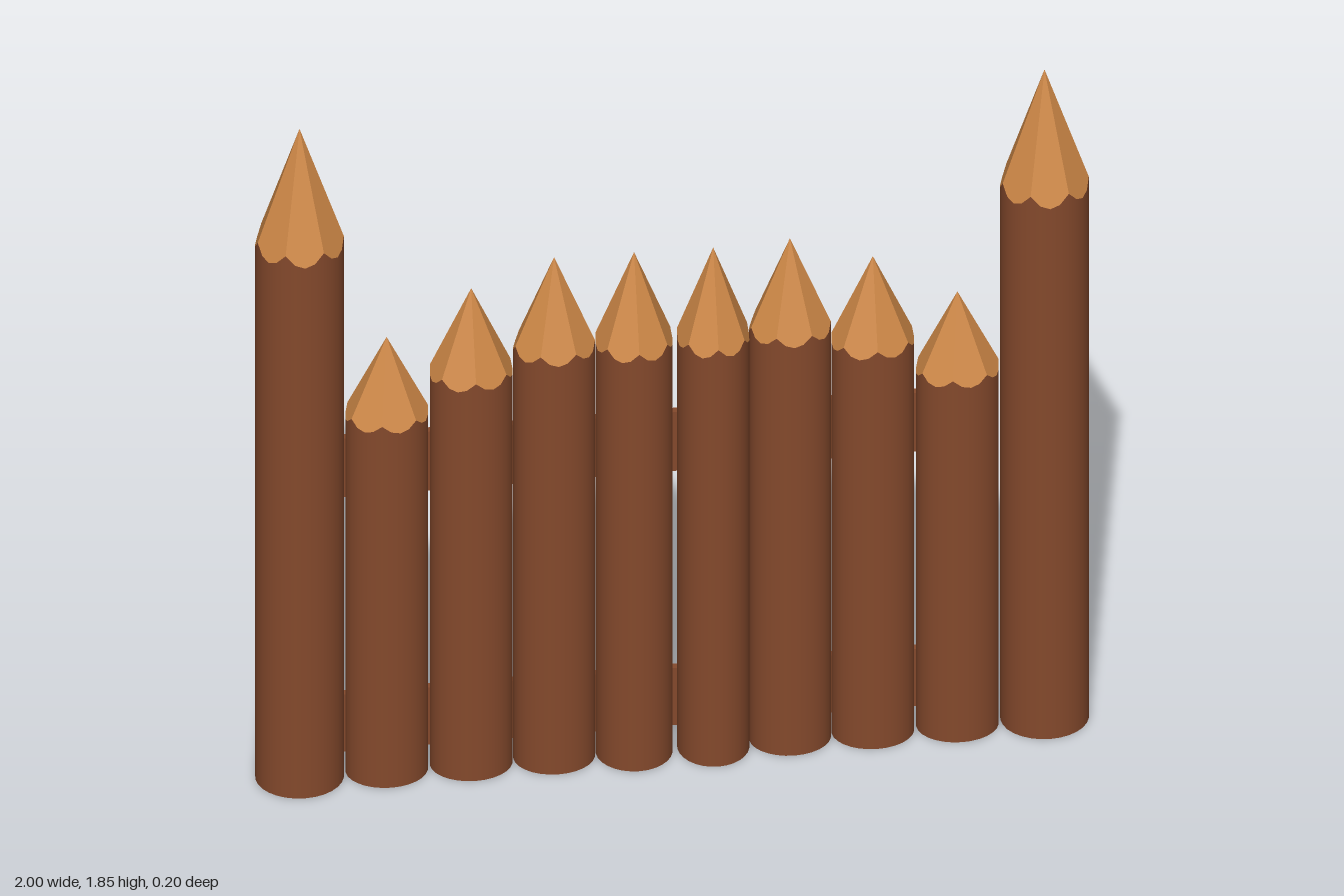
import * as THREE from 'three';

const bark = new THREE.MeshStandardMaterial({ color: 0x84492c });
const cutWood = new THREE.MeshStandardMaterial({ color: 0xce8847, flatShading: true });

const FACETS = 7;
const SEGMENTS = FACETS * 4;

// Height at which the flat sharpening cuts meet the round side of the log
function cutHeight(angle, phase, tipY, drop) {
  const step = (Math.PI * 2) / FACETS;
  const a = angle - phase;
  return tipY - drop * Math.cos(a - Math.round(a / step) * step);
}

// One log with a sharpened tip: x, z, radii, tip height, length of the cut, turn of the facets
function makeLog(name, { x, z, rx, rz, tipY, drop, turn }) {
  const log = new THREE.Group();
  log.name = name;
  const phase = (Math.PI * 2 / SEGMENTS) * (turn + 0.0);

  // Round trunk whose top edge follows the scalloped cut
  const trunkGeo = new THREE.CylinderGeometry(1, 1, 2, SEGMENTS, 1, true);
  const tp = trunkGeo.attributes.position;
  for (let i = 0; i < tp.count; i++) {
    const angle = Math.atan2(tp.getX(i), tp.getZ(i));
    tp.setY(i, tp.getY(i) > 0 ? cutHeight(angle, phase, tipY, drop) : 0);
  }
  trunkGeo.scale(rx, 1, rz);
  const trunk = new THREE.Mesh(trunkGeo, bark);
  trunk.name = 'trunk';

  // Faceted point
  const tipGeo = new THREE.ConeGeometry(1, 2, SEGMENTS, 1, true).toNonIndexed();
  const cp = tipGeo.attributes.position;
  for (let i = 0; i < cp.count; i++) {
    const angle = Math.atan2(cp.getX(i), cp.getZ(i));
    cp.setY(i, cp.getY(i) > 0 ? tipY : cutHeight(angle, phase, tipY, drop));
  }
  tipGeo.scale(rx, 1, rz);
  tipGeo.computeVertexNormals();
  const tip = new THREE.Mesh(tipGeo, cutWood);
  tip.name = 'sharpenedTip';

  // Flat underside
  const baseGeo = new THREE.CircleGeometry(1, SEGMENTS).rotateX(Math.PI / 2).scale(rx, 1, rz);
  const base = new THREE.Mesh(baseGeo, bark);
  base.name = 'base';

  log.add(trunk, tip, base);
  log.position.set(x, 0, z);
  return log;
}

export function createModel() {
  const model = new THREE.Group();
  model.name = 'palisadeGate';

  for (const side of [-1, 1]) {
    const label = side > 0 ? 'left' : 'right';

    // Tall gate post
    model.add(makeLog(label + 'GatePost', {
      x: side * 0.894, z: -0.004, rx: 0.106, rz: 0.098, tipY: 1.85, drop: 0.335, turn: 0,
    }));

    // Door leaf: stakes rising toward the middle
    const door = new THREE.Group();
    door.name = label + 'DoorLeaf';
    const stakes = [
      { x: 0.685, rx: 0.099, tipY: 1.235, drop: 0.225, turn: 1 },
      { x: 0.482, rx: 0.099, tipY: 1.355, drop: 0.245, turn: 2 },
      { x: 0.283, rx: 0.098, tipY: 1.425, drop: 0.26, turn: 0 },
      { x: side > 0 ? 0.097 : 0.092, rx: side > 0 ? 0.086 : 0.092, tipY: 1.425, drop: 0.26, turn: 2 },
    ];
    stakes.forEach((s, i) => {
      const inner = i === 3;
      const z = inner ? (side > 0 ? 0.009 : 0.002) : -0.004;
      const rz = inner ? 0.09 : 0.082;
      door.add(makeLog('stake' + (i + 1), { ...s, x: side * s.x, z, rz }));
    });

    // Two cross planks on the back
    const inner = side > 0 ? 0.012 : 0.002;
    const outer = 0.787;
    for (const [name, y0, y1] of [['lowerPlank', 0.005, 0.168], ['upperPlank', 0.732, 0.9]]) {
      const plank = new THREE.Mesh(new THREE.BoxGeometry(outer - inner, y1 - y0, 0.019), bark);
      plank.name = name;
      plank.position.set(side * (inner + outer) / 2, (y0 + y1) / 2, -0.0935);
      door.add(plank);
    }
    model.add(door);
  }
  return model;
}
